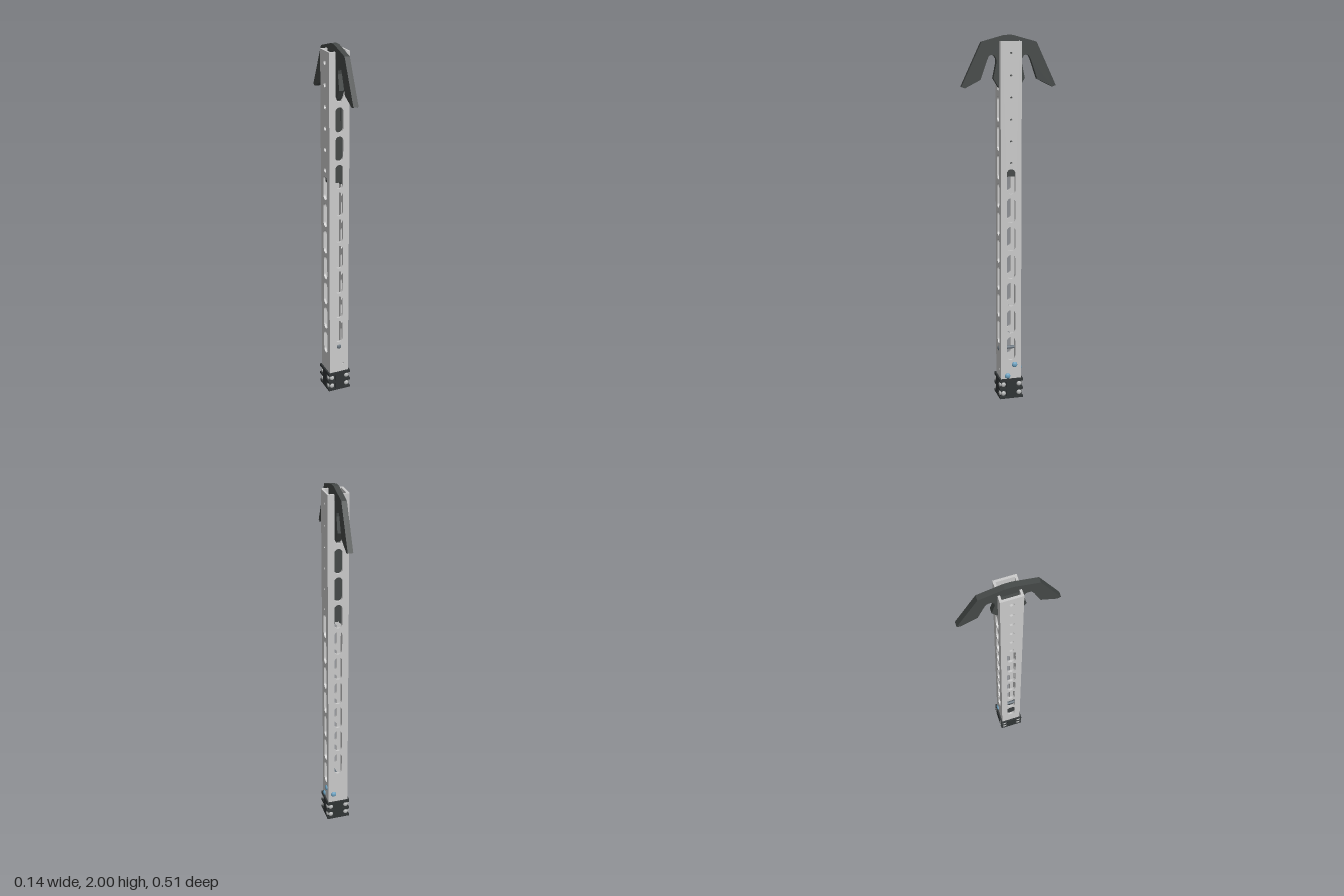
import * as THREE from 'three';

const mat = (name, color, side = THREE.FrontSide) => {
  const m = new THREE.MeshStandardMaterial({ color, side });
  m.name = name;
  return m;
};

export function createModel() {
  const root = new THREE.Group();
  root.name = 'hookedTubeArm';
  const aluminium = mat('aluminium', 0xcbcbcb);
  const darkPlate = mat('darkPlate', 0x454948);
  const capBlack = mat('capBlack', 0x303435);
  const blueSteel = mat('blueSteel', 0x6ea3c2);
  const silver = mat('silver', 0xb4b6b6);
  const boltGrey = mat('boltGrey', 0x6c7780);

  const add = (name, geo, material, x = 0, y = 0, z = 0, parent = root) => {
    const m = new THREE.Mesh(geo, material);
    m.name = name;
    m.position.set(x, y, z);
    parent.add(m);
    return m;
  };
  const box = (name, w, h, d, material, x, y, z, parent) =>
    add(name, new THREE.BoxGeometry(w, h, d), material, x, y, z, parent);

  // ---- Square tube: four walls with slots ----
  const R = 0.057, T = 0.012, Y0 = 0.03, Y1 = 1.97;

  const slot = (y0, y1, r) => {
    const p = new THREE.Path();
    p.absarc(0, y1 - r, r, 0, Math.PI, false);
    p.absarc(0, y0 + r, r, Math.PI, Math.PI * 2, false);
    p.closePath();
    return p;
  };
  const hole = (x, y, r) => {
    const p = new THREE.Path();
    p.absarc(x, y, r, 0, Math.PI * 2, false);
    return p;
  };
  const wall = (name, half, notched, holes, angle) => {
    const pts = [[-half, Y0], [half, Y0], [half, Y1]];
    // open slot at the top that takes the hook plate
    if (notched) pts.push([0.021, Y1], [0.021, 1.74], [0.01, 1.715], [-0.01, 1.715], [-0.021, 1.74], [-0.021, Y1]);
    pts.push([-half, Y1]);
    const s = new THREE.Shape(pts.map(p => new THREE.Vector2(...p)));
    s.holes.push(...holes);
    const g = new THREE.ExtrudeGeometry(s, { depth: T, bevelEnabled: false, curveSegments: 8 });
    g.translate(0, 0, R - T);
    add(name, g, aluminium).rotation.y = angle;
  };
  const run = (n, start, pitch, fn) => Array.from({ length: n }, (_, i) => fn(start + i * pitch));
  const faceSlots = () => run(9, 0.31, 0.155, y => slot(y, y + 0.135, 0.022));
  const sideSlots = () => run(7, 0.225, 0.157, y => slot(y, y + 0.135, 0.024));
  const pinHoles = r => run(6, 1.335, 0.115, y => hole(0, y, r));

  wall('frontWall', R, true, [...faceSlots(), hole(0.025, 0.165, 0.006)], 0);
  wall('backWall', R, true, faceSlots(), Math.PI);
  wall('leftWall', R - T, false, [...sideSlots(), ...pinHoles(0.006)], Math.PI / 2);
  wall('rightWall', R - T, false, [...sideSlots(), ...pinHoles(0.013)], -Math.PI / 2);

  // ---- Clamp blocks inside the tube, either side of the hook plate ----
  for (const s of [-1, 1]) {
    box('clampBlock', 0.028, 0.67, 0.084, darkPlate, s * 0.028, 1.595, 0);
  }
  box('plateShank', 0.028, 0.7, 0.078, darkPlate, 0, 1.62, 0);

  // ---- Double hook plate ----
  const half = [
    [0.02, 2.0], [0.148, 1.965], [0.256, 1.737], [0.236, 1.73], [0.153, 1.772], [0.118, 1.873],
    [0.108, 1.893], [0.095, 1.9], [0.08, 1.895], [0.07, 1.88], [0.068, 1.86],
    [0.085, 1.778], [0.056, 1.73], [0.04, 1.72],
  ];
  const outline = [...half, ...half.map(([z, y]) => [-z, y]).reverse()];
  const hookGeo = new THREE.ExtrudeGeometry(
    new THREE.Shape(outline.map(p => new THREE.Vector2(...p))),
    { depth: 0.028, bevelEnabled: false });
  hookGeo.translate(0, 0, -0.014);
  hookGeo.rotateY(Math.PI / 2);
  add('hookPlate', hookGeo, darkPlate);

  // ---- Fasteners: domed heads pointing out of the tube faces ----
  const dome = r => {
    const g = new THREE.SphereGeometry(r, 16, 6, 0, Math.PI * 2, 0, Math.PI / 2);
    g.scale(1, 0.65, 1);
    g.rotateX(Math.PI / 2);
    return g;
  };
  const bolt = (name, angle, u, y, r, out, material) => {
    const pivot = new THREE.Group();
    pivot.name = name;
    pivot.rotation.y = angle;
    root.add(pivot);
    add(name + 'Head', dome(r), material, u, y, out, pivot);
  };
  bolt('leftUpperBolt', Math.PI / 2, 0.02, 0.196, 0.016, R, blueSteel);
  bolt('leftLowerBolt', Math.PI / 2, -0.02, 0.132, 0.016, R, blueSteel);
  bolt('backBolt', Math.PI, -0.027, 0.168, 0.016, R, blueSteel);
  bolt('frontBolt', 0, 0, 0.28, 0.015, R - 0.004, boltGrey);
  const rod = new THREE.CylinderGeometry(0.009, 0.009, 0.112, 12);
  rod.rotateX(Math.PI / 2);
  add('crossRod', rod, boltGrey, 0, 0.28, 0);

  // ---- Foot cap ----
  const cap = new THREE.Group();
  cap.name = 'footCap';
  root.add(cap);
  box('capCore', 0.118, 0.112, 0.118, capBlack, 0, 0.057, 0, cap);
  box('capTopFlange', 0.132, 0.016, 0.132, capBlack, 0, 0.107, 0, cap);
  box('capMiddleFlange', 0.132, 0.014, 0.132, capBlack, 0, 0.056, 0, cap);
  box('capBottomFlange', 0.132, 0.012, 0.132, capBlack, 0, 0.006, 0, cap);
  for (let i = 0; i < 4; i++) {
    const side = new THREE.Group();
    side.name = 'capSide';
    side.rotation.y = i * Math.PI / 2;
    cap.add(side);
    box('capPad', 0.052, 0.11, 0.008, capBlack, 0, 0.057, 0.062, side);
    for (const x of [-0.045, 0.045]) for (const y of [0.03, 0.082]) {
      add('capScrew', dome(0.014), silver, x, y, 0.059, side);
    }
  }
  return root;
}
